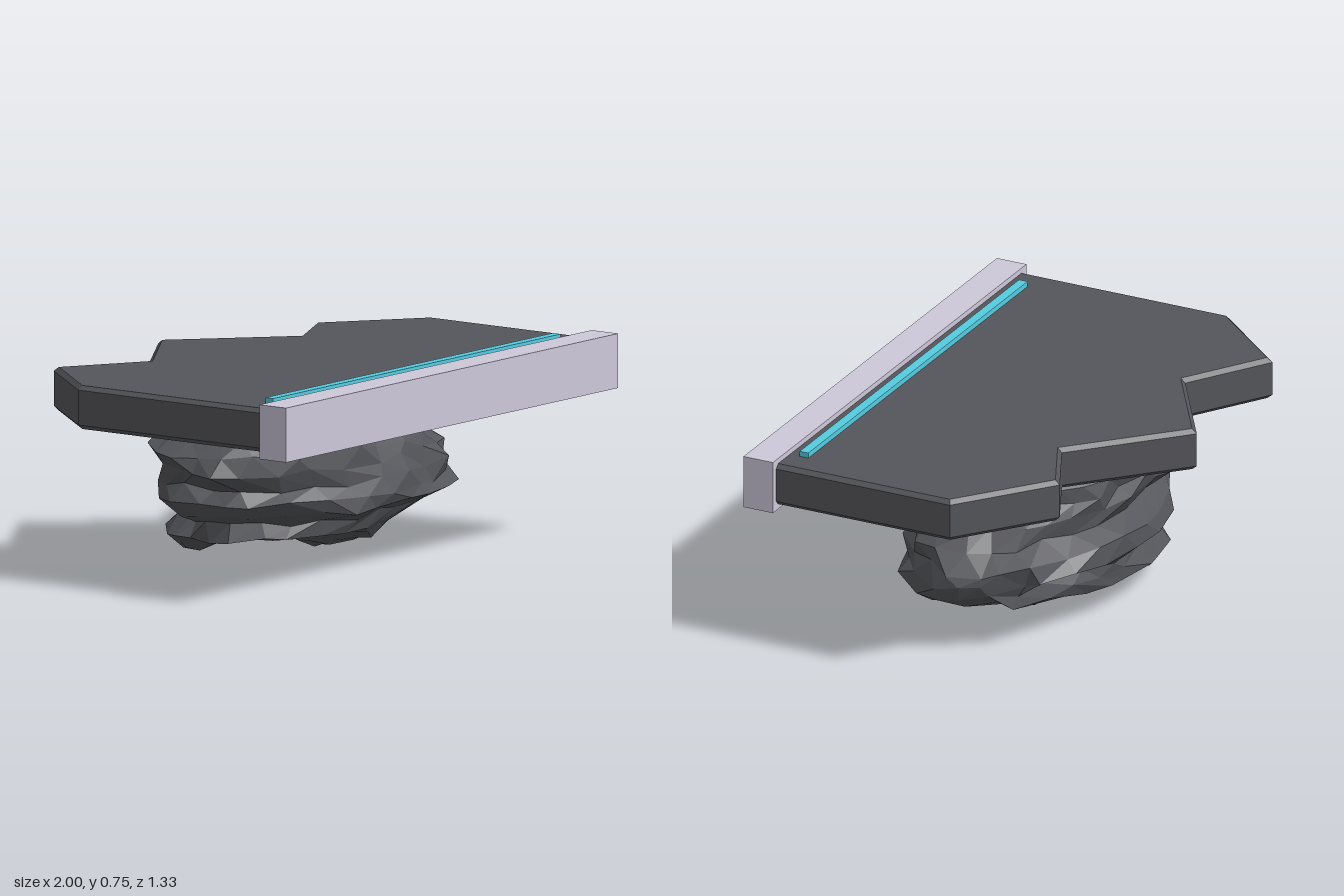
import * as THREE from 'three';

const mat = (name, color) => {
  const m = new THREE.MeshStandardMaterial({ color });
  m.name = name;
  return m;
};

// Repeatable pseudo-random value in -1..1
const hash = (i, j, k) => {
  const s = Math.sin(i * 127.1 + j * 311.7 + k * 74.7 + 5.3) * 43758.5453;
  return (s - Math.floor(s)) * 2 - 1;
};

// Rock levels from top to bottom: y, left x, right x, back z, front z
const LEVELS = [
  [0.64, -0.32, 0.34, -0.34, 0.21],
  [0.56, -0.47, 0.48, -0.47, 0.28],
  [0.5, -0.54, 0.5, -0.47, 0.255],
  [0.44, -0.64, 0.6, -0.47, 0.32],
  [0.38, -0.66, 0.71, -0.41, 0.32],
  [0.32, -0.57, 0.75, -0.485, 0.34],
  [0.265, -0.6, 0.78, -0.49, 0.36],
  [0.215, -0.56, 0.75, -0.42, 0.37],
  [0.175, -0.5, 0.7, -0.42, 0.26],
  [0.12, -0.51, 0.47, -0.46, 0.25],
];
const SEGMENTS = 24;

// Height of the rock's underside, with hanging lobes: x, z, drop, spread
const LOBES = [[0.14, -0.1, 0.09, 0.02], [0.3, -0.03, 0.06, 0.025], [0.2, 0.12, 0.04, 0.02], [-0.28, -0.29, 0.09, 0.025]];
const underside = (x, z) => LOBES.reduce(
  (y, [lx, lz, drop, spread]) => y - drop * Math.exp(-((x - lx) ** 2 + (z - lz) ** 2) / spread), 0.12);

// Craggy rock: jagged rings lofted downward, closed by an uneven underside
function rockGeometry() {
  const points = [], index = [];
  const ring = ([y, x0, x1, z0, z1], row, scale, under) => {
    const cx = (x0 + x1) / 2, cz = (z0 + z1) / 2;
    for (let j = 0; j < SEGMENTS; j++) {
      const a = (j + 0.5 * (row % 2) + 0.25 * hash(row, j, 1)) / SEGMENTS * Math.PI * 2;
      const c = Math.cos(a), s = Math.sin(a);
      const round = (Math.abs(c) ** 2.3 + Math.abs(s) ** 2.3) ** (-1 / 2.3);
      // The back left corner is worn away
      const worn = c > 0 && s < 0 ? 1 + 0.26 * c * s : 1;
      const r = round * worn * scale * (0.95 + 0.05 * hash(row, j, 3));
      const x = cx + c * r * (x1 - x0) / 2, z = cz + s * r * (z1 - z0) / 2;
      points.push(x, under ? Math.max(0, underside(x, z) + 0.01 * hash(row, j, 4)) : y + 0.016 * hash(row, j, 4), z);
    }
  };
  LEVELS.forEach((level, row) => ring(level, row, 1, false));
  const base = LEVELS[LEVELS.length - 1];
  [0.88, 0.68, 0.46, 0.23].forEach((scale, k) => ring(base, LEVELS.length + k, scale, true));

  const rows = points.length / 3 / SEGMENTS;
  for (let i = 0; i < rows - 1; i++) {
    for (let j = 0; j < SEGMENTS; j++) {
      const n = (j + 1) % SEGMENTS;
      const a = i * SEGMENTS + j, b = i * SEGMENTS + n, c = a + SEGMENTS, d = b + SEGMENTS;
      if (i % 2) index.push(a, b, d, a, d, c);
      else index.push(a, b, c, b, d, c);
    }
  }
  // Caps: the top one is buried in the platform
  const last = (rows - 1) * SEGMENTS, top = rows * SEGMENTS, bottom = top + 1;
  points.push(0, 0.65, -0.06, 0, underside(0, -0.1), -0.1);
  for (let j = 0; j < SEGMENTS; j++) {
    const n = (j + 1) % SEGMENTS;
    index.push(top, n, j, bottom, last + j, last + n);
  }
  const geo = new THREE.BufferGeometry();
  geo.setAttribute('position', new THREE.Float32BufferAttribute(points, 3));
  geo.setIndex(index);
  const faceted = geo.toNonIndexed();
  faceted.computeVertexNormals();
  return faceted;
}

export function createModel() {
  const model = new THREE.Group();
  const stone = mat('dark stone', 0x55565b);
  const trim = mat('pale trim', 0xcdc8da);
  const glow = mat('teal strip', 0x55cce0);
  const add = (name, geo, material, x = 0, y = 0, z = 0) => {
    const m = new THREE.Mesh(geo, material);
    m.name = name;
    m.position.set(x, y, z);
    model.add(m);
  };

  // Platform with a broken back edge and a small bevel
  const outline = [
    [-0.977, 0.56], [0.974, 0.56], [0.974, -0.165], [0.63, -0.435], [0.37, -0.31],
    [-0.005, -0.665], [-0.39, -0.42], [-0.7, -0.615], [-0.977, -0.295],
  ].map(([x, z]) => new THREE.Vector2(x, -z));
  const bevel = 0.016;
  const slab = new THREE.ExtrudeGeometry(new THREE.Shape(outline), {
    depth: 0.16 - 2 * bevel, bevelEnabled: true, bevelSegments: 1,
    bevelSize: bevel, bevelThickness: bevel, bevelOffset: -bevel,
  });
  slab.rotateX(-Math.PI / 2);
  add('platform', slab, stone, 0, 0.57 + bevel, 0);

  // Front beam and the light strip behind it
  add('frontBeam', new THREE.BoxGeometry(2, 0.2, 0.12), trim, 0, 0.65, 0.602);
  add('lightStrip', new THREE.BoxGeometry(1.73, 0.03, 0.035), glow, 0, 0.735, 0.485);

  // Rock hanging under the platform
  add('hangingRock', rockGeometry(), stone);
  return model;
}
